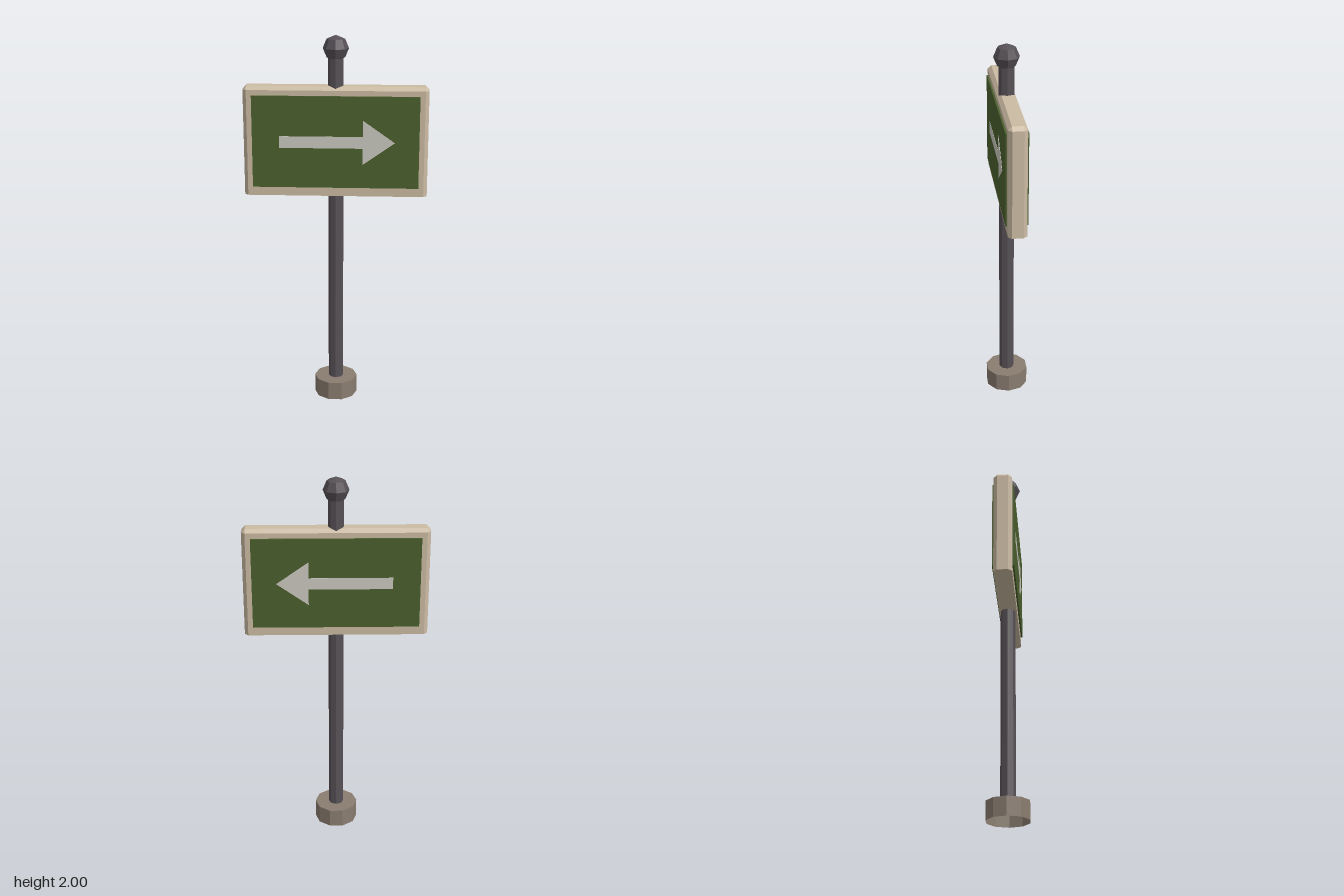
import * as THREE from 'three';
import { ConvexGeometry } from 'three/addons/geometries/ConvexGeometry.js';

function material(name, color, side = THREE.FrontSide) {
  const m = new THREE.MeshStandardMaterial({ color, flatShading: true, side });
  m.name = name;
  return m;
}

export function createModel() {
  const group = new THREE.Group();
  group.name = 'signpost';
  const metal = material('dark metal', 0x575156);
  const stone = material('stone', 0x8a7d70, THREE.DoubleSide);
  const cream = material('cream frame', 0xcbbba3);
  const green = material('green panel', 0x4b602e);
  const white = material('arrow white', 0xcac8bf);

  function add(name, geometry, mat, y = 0, z = 0) {
    const mesh = new THREE.Mesh(geometry, mat);
    mesh.name = name;
    mesh.position.set(0, y, z);
    group.add(mesh);
    return mesh;
  }

  // Ten-sided foot, hollow underneath
  const footProfile = [[0.116, 0], [0.116, 0.1], [0, 0.1]].map(p => new THREE.Vector2(...p));
  add('foot', new THREE.LatheGeometry(footProfile, 10).rotateY(Math.PI / 2), stone);

  // Eight-sided pole with a faceted ball on top
  add('pole', new THREE.CylinderGeometry(0.04, 0.04, 1.79, 8), metal, 0.995);
  add('finial', new THREE.SphereGeometry(0.067, 8, 4), metal, 1.933);

  // Board: chamfered upright and top edges, square bottom edge
  const W = 0.48, D = 0.048, C = 0.019;
  const corners = [];
  for (const sx of [-1, 1]) {
    for (const sz of [-1, 1]) {
      for (const y of [1.162, 1.722]) {
        corners.push(new THREE.Vector3(sx * W, y, sz * (D - C)));
        corners.push(new THREE.Vector3(sx * (W - C), y, sz * D));
      }
      corners.push(new THREE.Vector3(sx * (W - C), 1.741, sz * (D - C)));
    }
  }
  add('board', new ConvexGeometry(corners), cream);

  // Arrow outline, pointing to +x
  const arrow = new THREE.Shape([
    [-0.292, -0.031], [0.142, -0.031], [0.142, -0.117], [0.308, 0],
    [0.142, 0.117], [0.142, 0.031], [-0.292, 0.031],
  ].map(p => new THREE.Vector2(...p)));

  // Green panel and arrow on both faces
  for (const [side, s] of [['front', 1], ['back', -1]]) {
    add(side + 'Panel', new THREE.BoxGeometry(0.868, 0.485, 0.012), green, 1.452, s * 0.051);
    const plate = new THREE.ExtrudeGeometry(arrow, { depth: 0.002, bevelEnabled: false });
    // The outline is symmetric in y, so a half turn about x keeps its direction
    if (s < 0) plate.rotateX(Math.PI);
    add(side + 'Arrow', plate, white, 1.453, s * 0.0565);
  }
  return group;
}
